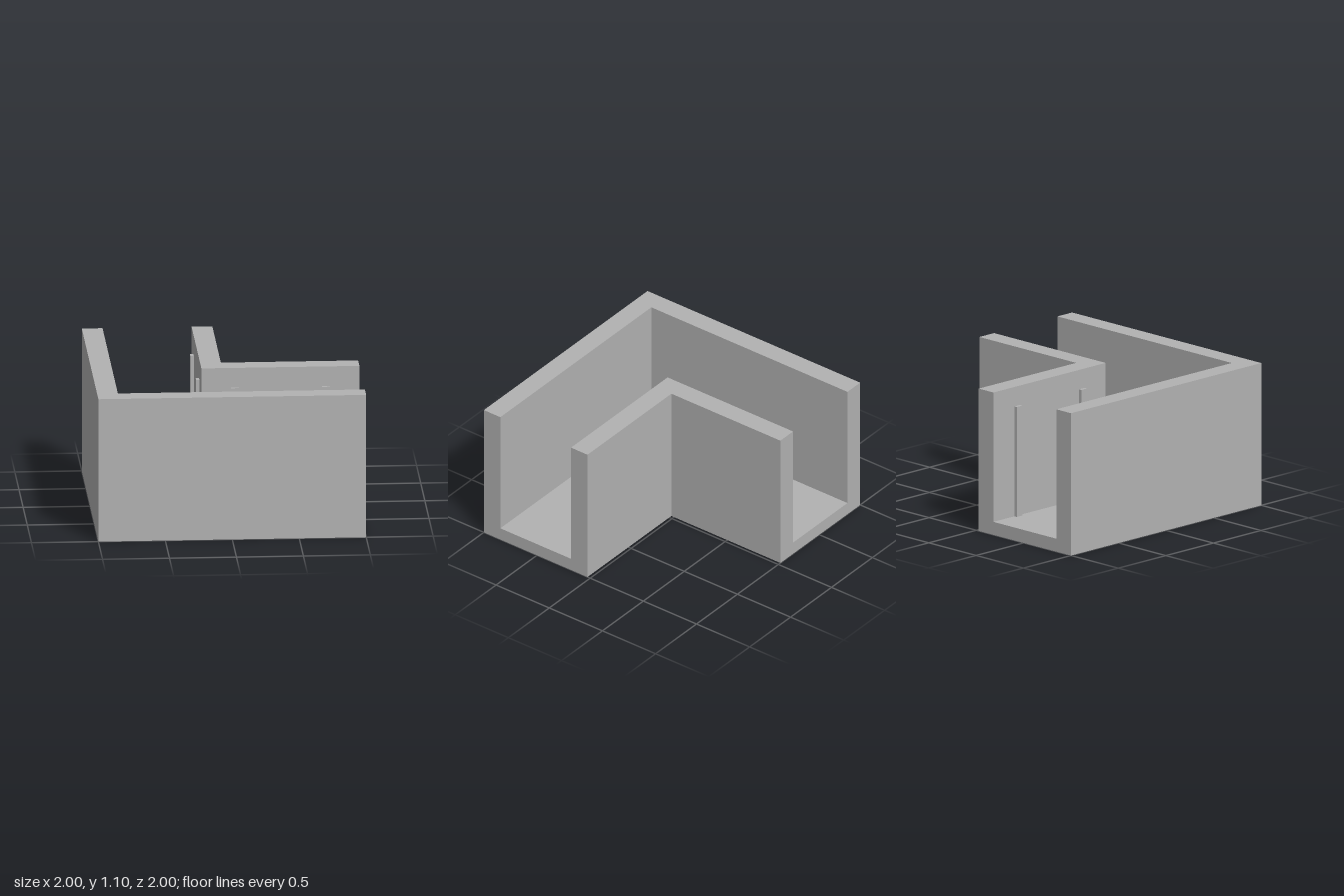
import * as THREE from 'three';

const grey = new THREE.MeshStandardMaterial({ color: 0xb2b2b2 });
grey.name = 'plain grey';

// U-shaped section: distance in from the outer wall face, height
const PROFILE = [
  [0, 0], [0.975, 0], [0.975, 1.1], [0.82, 1.1],
  [0.82, 0.1], [0.155, 0.1], [0.155, 1.1], [0, 1.1],
].map(([d, y]) => new THREE.Vector2(d, y));

// Back end, mitred corner and left end of the L-shaped run
const STATIONS = [
  (p) => [p.x - 1, p.y, -1],
  (p) => [p.x - 1, p.y, 1 - p.x],
  (p) => [1, p.y, 1 - p.x],
];

function channelGeometry() {
  const n = PROFILE.length;
  const positions = STATIONS.flatMap((at) => PROFILE.flatMap(at));
  const index = [];
  // walls and floor
  for (let s = 0; s < STATIONS.length - 1; s++) {
    for (let i = 0; i < n; i++) {
      const j = (i + 1) % n;
      const a = s * n + i, b = s * n + j;
      index.push(a, b, b + n, a, b + n, a + n);
    }
  }
  // U-shaped end faces
  const last = (STATIONS.length - 1) * n;
  for (const [a, b, c] of THREE.ShapeUtils.triangulateShape(PROFILE, [])) {
    index.push(a, c, b, last + a, last + b, last + c);
  }
  const indexed = new THREE.BufferGeometry();
  indexed.setAttribute('position', new THREE.Float32BufferAttribute(positions, 3));
  indexed.setIndex(index);
  const geometry = indexed.toNonIndexed();
  geometry.computeVertexNormals();
  return geometry;
}

export function createModel() {
  const model = new THREE.Group();
  model.name = 'cornerChannel';

  const channel = new THREE.Mesh(channelGeometry(), grey);
  channel.name = 'channel';
  model.add(channel);

  // Upright ribs on the inner walls, mirrored across the corner diagonal
  const addRib = (x, z, width, depth) => {
    const rib = new THREE.Mesh(new THREE.BoxGeometry(width, 0.85, depth), grey);
    rib.name = 'rib';
    rib.position.set(x, 0.525, z);
    model.add(rib);
  };
  for (const along of [0.07, 0.75]) {
    addRib(along, 0.1925, 0.06, 0.027);
    addRib(-0.1925, -along, 0.027, 0.06);
  }
  return model;
}
